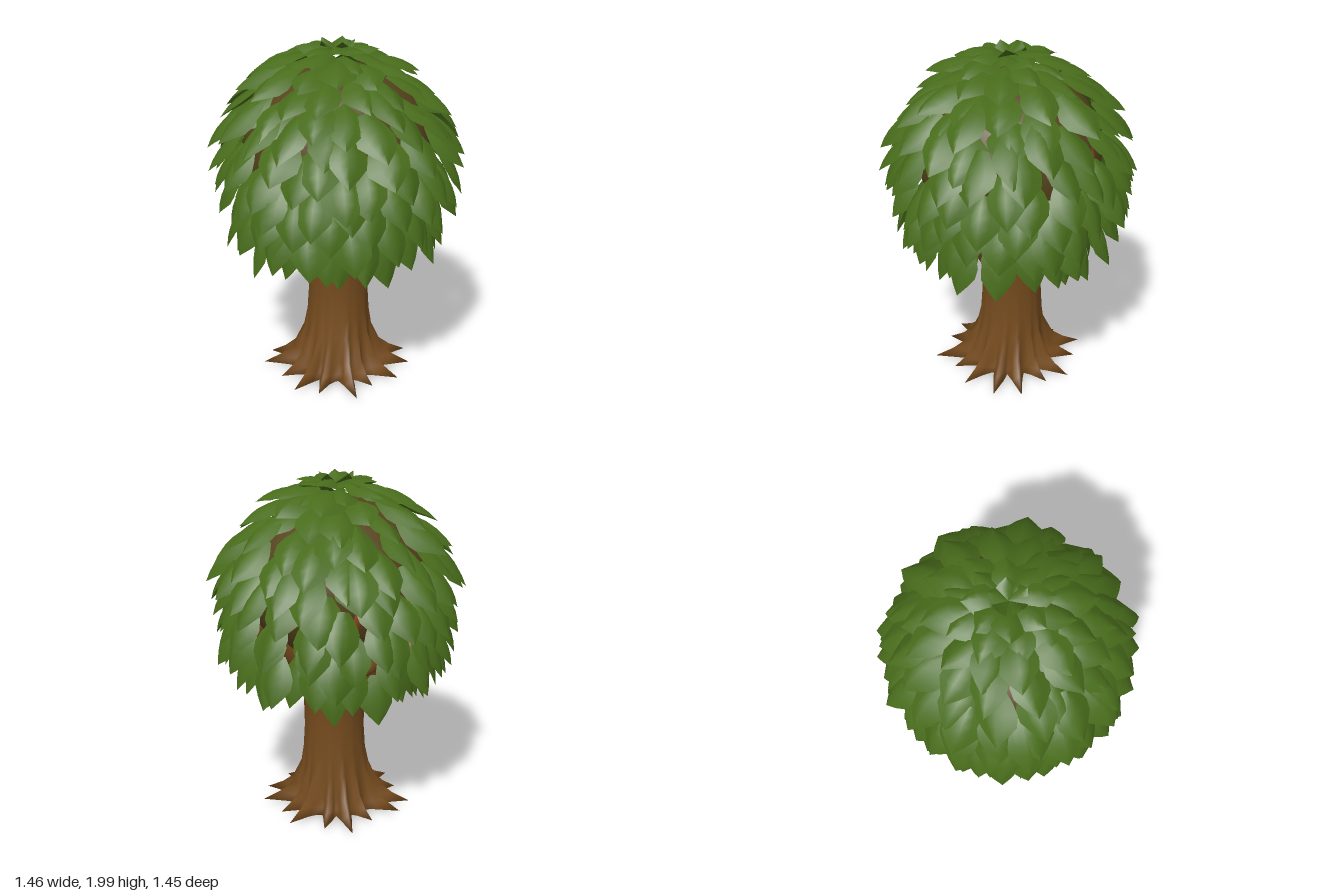
import * as THREE from 'three';
import { mergeGeometries } from 'three/addons/utils/BufferGeometryUtils.js';

const material = (name, color, side = THREE.FrontSide) => {
  const m = new THREE.MeshStandardMaterial({ color, side });
  m.name = name;
  return m;
};

// Seeded random in -1..1
function makeRandom(seed) {
  return () => {
    seed = (seed * 16807) % 2147483647;
    return (seed / 2147483647) * 2 - 1;
  };
}

// Smooth surface from rows (top to bottom) of points; closed wraps the last column to the first
function grid(rows, cols, point, closed = false) {
  const pos = [], idx = [];
  for (let i = 0; i < rows; i++) for (let j = 0; j < cols; j++) pos.push(...point(i, j));
  for (let i = 0; i < rows - 1; i++) {
    for (let j = 0; j < (closed ? cols : cols - 1); j++) {
      const k = (j + 1) % cols;
      const a = i * cols + j, b = a + cols, c = i * cols + k, d = c + cols;
      idx.push(a, b, c, b, d, c);
    }
  }
  const g = new THREE.BufferGeometry();
  g.setAttribute('position', new THREE.Float32BufferAttribute(pos, 3));
  g.setIndex(idx);
  g.computeVertexNormals();
  return g;
}

// Point at angle a around the trunk axis (0 = front)
const polar = (r, y, a) => new THREE.Vector3(r * Math.sin(a), y, r * Math.cos(a));

// Tube whose thickness follows radius(u)
function taperedTube(points, radius, sides = 8, steps = 10) {
  const curve = new THREE.CatmullRomCurve3(points);
  const g = new THREE.TubeGeometry(curve, steps, 1, sides);
  const p = g.attributes.position, v = new THREE.Vector3();
  for (let i = 0; i < p.count; i++) {
    const u = Math.floor(i / (sides + 1)) / steps;
    const c = curve.getPointAt(u);
    v.fromBufferAttribute(p, i).sub(c).multiplyScalar(radius(u)).add(c);
    p.setXYZ(i, v.x, v.y, v.z);
  }
  g.computeVertexNormals();
  return g;
}

// Trunk flaring into pointed roots: [y between roots, y on roots, radius between, radius on]
function trunkGeometry() {
  const rows = [
    [1.05, 1.05, 0.1, 0.1], [0.92, 0.92, 0.22, 0.22], [0.82, 0.82, 0.205, 0.205],
    [0.7, 0.7, 0.178, 0.178], [0.52, 0.52, 0.172, 0.174], [0.38, 0.38, 0.178, 0.183],
    [0.26, 0.26, 0.19, 0.205], [0.12, 0.13, 0.205, 0.27], [0.05, 0.075, 0.215, 0.34],
    [0.015, 0.025, 0.225, 0.44], [0, 0.005, 0.21, 0.3], [0, 0, 0.17, 0.2], [0.01, 0.01, 0, 0],
  ];
  const roots = 15, per = 4, rootLength = [1, 0.72, 0.95, 0.82, 1.06, 0.66, 0.9];
  return grid(rows.length, roots * per, (i, j) => {
    const [y0, y1, inner, outer] = rows[i];
    const ridge = [1, 0.33, 0, 0.33][j % per];
    const root = Math.floor((j + 2) / per) % roots;
    const r = inner + (outer - inner) * ridge * rootLength[root % rootLength.length];
    const y = y0 + (y1 - y0) * ridge;
    const a = (j / (roots * per)) * Math.PI * 2 + Math.PI / 2 + 0.05 * Math.sin(root * 2.4);
    const shift = 0.015 * Math.min(1, y / 0.4);
    return [r * Math.sin(a) + shift, y, r * Math.cos(a) - shift];
  }, true);
}

// One folded, pointed leaf along a bent midrib from base to tip ([r, y] each)
const leafOutline = [0.35, 0.75, 1, 0.95, 0.52, 0];
function leafGeometry(angle, base, tip, width, bulge, sway, roll) {
  const e = polar(1, 0, angle);
  const t = new THREE.Vector3(Math.cos(angle), 0, -Math.sin(angle));
  const dr = tip[0] - base[0], dy = tip[1] - base[1], len = Math.hypot(dr, dy);
  const nr = -dy / len, ny = dr / len;
  const cols = [-1, -0.5, 0, 0.5, 1], last = leafOutline.length - 1;
  return grid(leafOutline.length, cols.length, (i, j) => {
    const u = i / last, s = cols[j], w = (leafOutline[i] * width) / 2;
    const lift = 4 * u * (1 - u) * bulge - 0.45 * w * Math.abs(s) + roll * w * s;
    const r = base[0] + dr * u + nr * lift, y = base[1] + dy * u + ny * lift;
    const side = w * s + sway * u;
    return [e.x * r + t.x * side, y, e.z * r + t.z * side];
  });
}

export function createModel() {
  const bark = material('bark brown', 0x754b1e);
  const twigBrown = material('twig brown', 0x87431a);
  const coreBrown = material('shaded core brown', 0x56431d);
  const leafGreen = material('leaf green', 0x486c1b, THREE.DoubleSide);
  const tree = new THREE.Group();
  tree.name = 'tree';
  const random = makeRandom(4711);
  const add = (name, geometry, mat, parent = tree) => {
    const mesh = new THREE.Mesh(geometry, mat);
    mesh.name = name;
    parent.add(mesh);
    return mesh;
  };

  add('trunk', trunkGeometry(), bark);

  // Branches fan out of the trunk, each with a fork and a thin twig in the crown
  const branches = new THREE.Group();
  branches.name = 'branches';
  tree.add(branches);
  const count = 7;
  for (let i = 0; i < count; i++) {
    const a = ((i + 0.5) / count) * Math.PI * 2;
    add('branch', taperedTube(
      [polar(0.06, 0.6, a), polar(0.14, 0.78, a), polar(0.26, 0.93, a), polar(0.44, 1.12, a)],
      u => 0.07 + 0.06 * u * (1 - u) - 0.03 * u), bark, branches);
    add('fork', taperedTube(
      [polar(0.15, 0.8, a), polar(0.27, 0.92, a + 0.15), polar(0.42, 1.01, a + 0.38), polar(0.47, 1.14, a + 0.45)],
      u => 0.055 - 0.025 * u), bark, branches);
    add('twig', taperedTube(
      [polar(0.42, 1.1, a), polar(0.49, 1.28, a + 0.1), polar(0.5, 1.45, a + 0.2), polar(0.42, 1.62, a + 0.3)],
      u => 0.035 - 0.015 * u, 6), twigBrown, branches);
  }

  // Dark mass inside the foliage
  const core = add('crownCore', new THREE.SphereGeometry(0.52, 24, 16), coreBrown);
  core.scale.y = 0.9;
  core.position.y = 1.4;

  // Leaf rings from the top down: [leaf count, base, tip, width, bulge]
  const rings = [
    [5, [0.0, 1.93], [0.1, 1.99], 0.12, 0.0],
    [8, [0.02, 1.93], [0.23, 1.94], 0.17, 0.025],
    [10, [0.1, 1.92], [0.34, 1.87], 0.19, 0.025],
    [12, [0.19, 1.89], [0.45, 1.8], 0.2, 0.03],
    [14, [0.28, 1.84], [0.55, 1.7], 0.21, 0.03],
    [16, [0.38, 1.77], [0.63, 1.59], 0.21, 0.03],
    [18, [0.46, 1.68], [0.685, 1.47], 0.21, 0.03],
    [19, [0.52, 1.58], [0.715, 1.35], 0.21, 0.03],
    [19, [0.55, 1.46], [0.705, 1.22], 0.21, 0.03],
    [19, [0.56, 1.35], [0.695, 1.1], 0.2, 0.03],
    [18, [0.56, 1.24], [0.675, 0.98], 0.2, 0.03],
    [17, [0.54, 1.14], [0.635, 0.87], 0.19, 0.025],
    [14, [0.5, 1.06], [0.57, 0.78], 0.18, 0.02],
    [10, [0.43, 1.0], [0.47, 0.72], 0.17, 0.02],
  ];
  const foliage = new THREE.Group();
  foliage.name = 'foliage';
  tree.add(foliage);
  rings.forEach(([n, base, tip, width, bulge], k) => {
    const loose = Math.min(1, k / 5);
    const leaves = [];
    for (let i = 0; i < n; i++) {
      const a = ((i + (k % 2) * 0.5 + 0.2 * random() * loose) / n) * Math.PI * 2;
      const drop = 0.045 * random() * loose, out = 0.015 * random() * loose;
      leaves.push(leafGeometry(a, [base[0] + out, base[1] + drop], [tip[0] + out, tip[1] + drop],
        width * (1 + 0.1 * random()), bulge, 0.04 * random() * loose, 0.3 * random()));
    }
    add('leafRing', mergeGeometries(leaves), leafGreen, foliage);
  });

  return tree;
}
